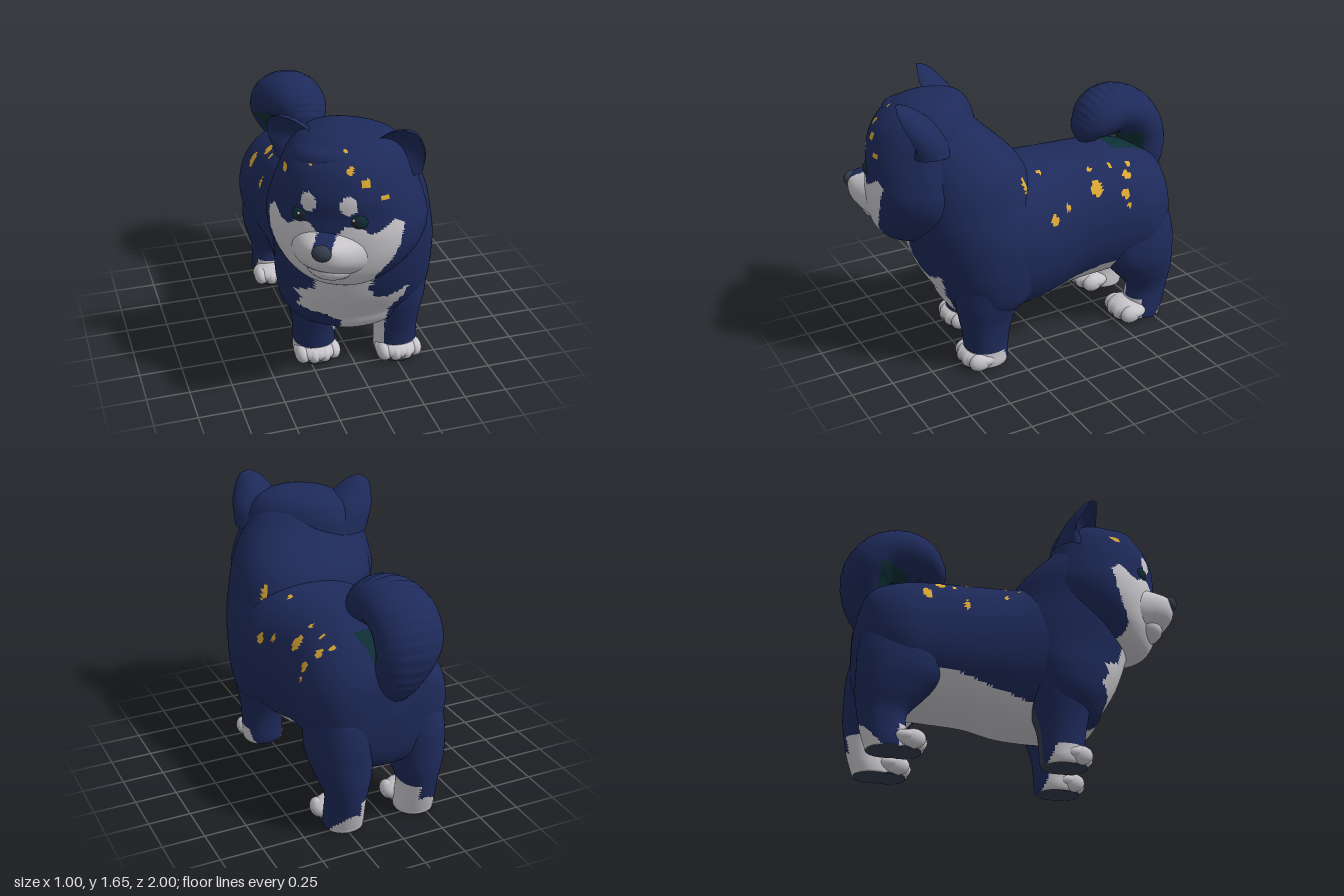
import * as THREE from 'three';

const mat = (name, color) => Object.assign(new THREE.MeshStandardMaterial({ color }), { name });
const navy = mat('navy coat', 0x1e2a5a);
const cream = mat('pale fur', 0xc9c7cc);
const gold = mat('gold fleck', 0xdba734);
const teal = mat('dark teal', 0x0d2f36);
const charcoal = mat('charcoal', 0x1c222c);
const slate = mat('slate pad', 0x343b4c);
const white = mat('eye glint', 0xe8eaec);
const PALETTE = [navy, cream, gold, teal, slate];
const NAVY = 0, CREAM = 1, GOLD = 2, TEAL = 3, SLATE = 4;

const UP = new THREE.Vector3(0, 1, 0), FORWARD = new THREE.Vector3(0, 0, 1);
const SIDE = new THREE.Vector3(1, 0, 0);

// slightly boxy oval used for most cross-sections
const oval = (c, s) => [Math.sign(c) * Math.abs(c) ** 0.92, Math.sign(s) * Math.abs(s) ** 0.92];

// Skin through rows of [x, y, z, halfWidth, halfDepth]; rings face axis, or follow the path when axis is null
function loft(rows, axis, steps, sides, shape = oval) {
  const path = new THREE.CatmullRomCurve3(rows.map(r => new THREE.Vector3(r[0], r[1], r[2])), false, 'catmullrom');
  const size = new THREE.CatmullRomCurve3(rows.map(r => new THREE.Vector3(r[3], r[4], 0)), false, 'catmullrom');
  const pos = [], index = [];
  for (let i = 0; i <= steps; i++) {
    const t = i / steps, c = path.getPoint(t), r = size.getPoint(t);
    const dir = axis ? axis.clone() : path.getTangent(t).setX(0).normalize();
    const up = dir.cross(SIDE);
    for (let j = 0; j < sides; j++) {
      const a = j / sides * Math.PI * 2;
      const [u, v] = shape(Math.cos(a), Math.sin(a), t);
      const p = c.clone().addScaledVector(SIDE, u * Math.max(r.x, 0.001)).addScaledVector(up, v * Math.max(r.y, 0.001));
      pos.push(p.x, Math.max(p.y, 0), p.z);
      if (i < steps) {
        const k = i * sides, n = (j + 1) % sides;
        index.push(k + j, k + n, k + sides + j, k + n, k + sides + n, k + sides + j);
      }
    }
  }
  const g = new THREE.BufferGeometry();
  g.setAttribute('position', new THREE.Float32BufferAttribute(pos, 3));
  g.setIndex(index);
  g.computeVertexNormals();
  return g;
}

// Sort the faces into colour groups by a rule on each face centre
function paint(name, g, rule) {
  const p = g.attributes.position, src = g.index.array, bins = PALETTE.map(() => []);
  for (let i = 0; i < src.length; i += 3) {
    const [a, b, c] = [src[i], src[i + 1], src[i + 2]];
    const mid = f => (p[f](a) + p[f](b) + p[f](c)) / 3;
    bins[rule(mid('getX'), mid('getY'), mid('getZ'))].push(a, b, c);
  }
  g.setIndex(bins.flat());
  let start = 0;
  bins.forEach((b, k) => { if (b.length) g.addGroup(start, b.length, k); start += b.length; });
  const m = new THREE.Mesh(g, PALETTE);
  m.name = name;
  return m;
}

function blob(name, material, [x, y, z], [rx, ry, rz]) {
  const m = new THREE.Mesh(new THREE.SphereGeometry(1, 22, 14), material);
  m.name = name;
  m.position.set(x, y, z);
  m.scale.set(rx, ry, rz);
  return m;
}

function inside(x, y, poly) {
  let hit = false;
  poly.forEach(([ax, ay], i) => {
    const [bx, by] = poly[(i + 1) % poly.length];
    if (ay > y !== by > y && x < ax + (bx - ax) * (y - ay) / (by - ay)) hit = !hit;
  });
  return hit;
}
const nearAny = (spots, u, v) => spots.some(([a, b, r]) => Math.hypot(u - a, v - b) < r);

// Flecks: on the left flank as [z, y, r], on the back as [x, z, r], on the brow as [x, y, r]
const FLANK = [[0.03, 0.89, 0.03], [-0.08, 0.93, 0.02], [-0.3, 0.98, 0.038], [-0.52, 1.01, 0.022],
  [-0.48, 0.92, 0.025], [-0.49, 0.86, 0.016]];
const BACK = [[0.24, -0.57, 0.015], [0.3, -0.53, 0.022], [0.24, -0.44, 0.016], [0.24, -0.3, 0.014],
  [0.23, 0.03, 0.016], [0.33, 0.18, 0.018], [-0.35, -0.53, 0.026], [-0.27, -0.44, 0.028], [-0.2, -0.27, 0.028],
  [-0.15, -0.14, 0.022], [-0.2, -0.03, 0.018], [-0.31, -0.05, 0.012], [-0.25, 0.04, 0.012], [-0.36, -0.3, 0.014],
  [-0.28, -0.36, 0.012]];
const BROW = [[0.1, 1.46, 0.018], [0.185, 1.4, 0.022], [0.28, 1.32, 0.016], [0.05, 1.53, 0.012],
  [-0.12, 1.47, 0.01], [-0.28, 1.4, 0.018]];
const CHEST = [[-0.3, 0.8], [0.03, 0.8], [0, 0.66], [0.05, 0.57], [0.13, 0.56], [0.26, 0.61], [0.24, 0.52], [0.17, 0.44],
  [0.14, 0.2], [-0.06, 0.2], [-0.18, 0.42], [-0.36, 0.49], [-0.34, 0.55], [-0.38, 0.6], [-0.29, 0.65]];
const FACE = [[-0.01, 0.6], [0.18, 0.7], [0.24, 0.85], [0.32, 0.95], [0.365, 1.05], [0.375, 1.16], [0.33, 1.2],
  [0.27, 1.14], [0.22, 1.13], [0.18, 1.17], [0.1, 1.17], [0.055, 1.12], [0.045, 1], [-0.01, 1]];

function makeBody(dog) {
  dog.add(paint('torso', loft([
    [0, 0.72, -0.9, 0, 0], [0, 0.72, -0.87, 0.23, 0.24], [0, 0.71, -0.8, 0.35, 0.33], [0, 0.705, -0.65, 0.415, 0.385],
    [0.01, 0.715, -0.45, 0.405, 0.41], [0.015, 0.715, -0.2, 0.395, 0.425], [0.03, 0.705, 0, 0.415, 0.45],
    [0.04, 0.71, 0.2, 0.44, 0.46], [0.04, 0.66, 0.4, 0.42, 0.4], [0.03, 0.6, 0.55, 0.34, 0.3], [0.03, 0.58, 0.64, 0, 0],
  ], FORWARD, 120, 120), (x, y, z) => {
    if (y > 0.75 && x > 0.3 && nearAny(FLANK, z, y)) return GOLD;
    if (y > 0.85 && nearAny(BACK, x, z)) return GOLD;
    if (y > 1 && x > -0.2 && x < 0.1 && z < -0.55 && z > -0.8) return TEAL;
    if (z > 0.22) return y < 0.4 && Math.abs(x - 0.03) < 0.14 ? CREAM : NAVY;
    return z > -0.62 && y < Math.min(0.48, 0.33 + (0.2 - z) * 0.27) ? CREAM : NAVY;
  }));
  // deep chest rising into the neck ruff
  dog.add(paint('chestAndNeck', loft([
    [0.03, 0.26, 0.36, 0, 0], [0.03, 0.3, 0.36, 0.27, 0.18], [0.03, 0.4, 0.34, 0.41, 0.26], [0.03, 0.55, 0.33, 0.45, 0.36],
    [0.03, 0.7, 0.33, 0.455, 0.42], [0.02, 0.85, 0.36, 0.455, 0.43], [0, 1, 0.41, 0.44, 0.41],
    [-0.03, 1.2, 0.455, 0.415, 0.365], [-0.08, 1.4, 0.55, 0.34, 0.26], [-0.1, 1.52, 0.6, 0.24, 0.2], [-0.1, 1.57, 0.6, 0, 0],
  ], UP, 80, 96), (x, y, z) => {
    if (z < 0.25 && y > 0.9 && nearAny(BACK, x, z)) return GOLD;
    return z > 0.28 && inside(x, y, CHEST) ? CREAM : NAVY;
  }));
  // curled tail with shallow fur ridges along its outer side
  dog.add(paint('tail', loft([
    [0, 0.8, -0.78, 0.06, 0.06], [-0.03, 0.93, -0.84, 0.14, 0.11], [-0.08, 1.1, -0.855, 0.19, 0.14],
    [-0.09, 1.23, -0.78, 0.2, 0.145], [-0.08, 1.285, -0.65, 0.195, 0.145], [-0.055, 1.265, -0.53, 0.175, 0.14],
    [-0.035, 1.21, -0.455, 0.135, 0.1], [-0.03, 1.15, -0.43, 0.08, 0.06], [-0.03, 1.12, -0.43, 0, 0],
  ], null, 140, 36, (c, s, t) => {
    const ridge = s > 0 ? 0.05 * s * ((t * 28) % 1) : 0;
    return [c, s * (1 + ridge)];
  }), (x, y, z) => y > 1 && y < 1.15 && z > -0.79 && z < -0.6 ? TEAL : NAVY));
}

// side: +1 left, -1 right. Rows run from the foot up, relative to the foot centre (x outwards)
function makeLeg(name, side, x, z, rows, toeZ, rule) {
  const leg = new THREE.Group();
  leg.name = name;
  leg.position.set(x, 0, z);
  leg.add(paint('limb', loft(rows.map(([lx, ...r]) => [lx * side, ...r]), UP, 54, 44),
    (px, y, pz) => y < 0.004 ? SLATE : rule(px * side, y, pz)));
  leg.add(blob('paw', cream, [0, 0.062, toeZ - 0.06], [0.14, 0.062, 0.115]));
  [-1.5, -0.5, 0.5, 1.5].forEach(k => leg.add(
    blob('toe', cream, [k * 0.063, 0.055, toeZ - Math.abs(k) * 0.02], [0.044, 0.055, 0.068])));
  const pad = new THREE.Mesh(new THREE.CylinderGeometry(0.1, 0.1, 0.008, 32), slate);
  pad.name = 'pad';
  pad.position.set(0, 0.004, toeZ - 0.07);
  leg.add(pad);
  return leg;
}

function makeLegs(dog) {
  const front = [[0, 0, 0, 0, 0], [0, 0, 0, 0.1, 0.1], [0, 0.03, 0, 0.125, 0.125], [0, 0.1, 0, 0.125, 0.13],
    [0, 0.2, 0, 0.127, 0.14], [0, 0.3, -0.005, 0.138, 0.165], [0.005, 0.45, -0.02, 0.165, 0.205],
    [0, 0.6, -0.05, 0.17, 0.2], [-0.01, 0.74, -0.07, 0, 0]];
  const back = [[0, 0, 0, 0, 0], [0, 0, 0, 0.1, 0.1], [0, 0.03, 0, 0.115, 0.12], [0, 0.12, -0.02, 0.11, 0.13],
    [0, 0.22, -0.03, 0.115, 0.14], [0, 0.33, 0.01, 0.15, 0.195], [0, 0.45, 0.06, 0.178, 0.245],
    [-0.01, 0.6, 0.07, 0.18, 0.25], [-0.04, 0.75, 0.07, 0.16, 0.2], [-0.08, 0.88, 0.06, 0, 0]];
  for (const side of [1, -1]) {
    const label = side > 0 ? 'left' : 'right';
    dog.add(makeLeg(label + 'FrontLeg', side, side > 0 ? 0.275 : -0.2, side > 0 ? 0.41 : 0.3, front, 0.115, (x, y, z) => {
      if (side < 0 && z < -0.03 && x < 0.04 && y < 0.32) return SLATE;
      if (y < 0.11 && z > -0.06 - (0.11 - y) * 0.4) return CREAM;
      const edge = side < 0 ? -0.12 + (y - 0.15) * 0.44 : -0.1;
      return x < edge && y < 0.44 && z > -0.06 ? CREAM : NAVY;
    }));
    dog.add(makeLeg(label + 'BackLeg', side, side > 0 ? 0.24 : -0.215, -0.71, back, 0.165, (x, y, z) => {
      if (y < 0.14 && (z > 0.05 || z < -0.16 + (0.14 - y) * 0.9)) return CREAM;
      return (x < -0.04 && y < 0.22) || (x < -0.02 && z > 0.04 && y < 0.36) ? CREAM : NAVY;
    }));
  }
}

function makeHead() {
  const head = new THREE.Group();
  head.name = 'head';
  head.position.set(-0.085, 0, 0.57);
  head.rotation.y = -0.583;
  // skull: the back of each ring is drawn in so the nape slopes into the neck
  head.add(paint('skull', loft([
    [0, 0.73, 0.1, 0, 0], [0, 0.76, 0.09, 0.19, 0.18], [0, 0.85, 0.04, 0.33, 0.3], [0, 0.97, 0, 0.42, 0.365],
    [0, 1.09, -0.01, 0.445, 0.38], [0, 1.2, -0.01, 0.425, 0.37], [0, 1.32, -0.01, 0.385, 0.365],
    [0, 1.45, -0.03, 0.33, 0.335], [0, 1.54, -0.05, 0.25, 0.255], [0, 1.585, -0.05, 0.13, 0.14], [0, 1.595, -0.05, 0, 0],
  ], UP, 110, 140, (c, s, t) => {
    const [u, v] = oval(c, s);
    return [u, s > 0 ? v * (1 - 0.5 * t) : v];
  }), (x, y, z) => {
    const ax = Math.abs(x);
    if (z > 0 && nearAny(BROW, x, y)) return GOLD;
    if (z > 0 && Math.hypot((ax - 0.11) / 0.045, (y - 1.285) / 0.052) < 1) return CREAM;
    return z > 0.05 && inside(ax, y, FACE) ? CREAM : NAVY;
  }));
  // muzzle tapering to the nose, dark along the bridge, with the jaw tucked under the smile
  head.add(paint('muzzle', loft([
    [0, 1, 0.2, 0.27, 0.19], [0, 1, 0.32, 0.215, 0.145], [0, 1.01, 0.4, 0.155, 0.105], [0, 1.02, 0.45, 0.1, 0.075],
    [0, 1.03, 0.475, 0.05, 0.045], [0, 1.03, 0.48, 0, 0],
  ], FORWARD, 36, 56), (x, y) => Math.abs(x) < 0.052 && y > 1.05 ? NAVY : CREAM));
  head.add(blob('lowerJaw', cream, [0, 0.9, 0.28], [0.14, 0.08, 0.13]));
  head.add(blob('nose', slate, [0, 1.055, 0.465], [0.055, 0.045, 0.042]));
  for (const s of [1, -1]) {
    head.add(blob('eye', teal, [s * 0.15, 1.195, 0.315], [0.06, 0.05, 0.04]));
    head.add(blob('pupil', charcoal, [s * 0.15, 1.197, 0.338], [0.032, 0.032, 0.02]));
    head.add(blob('glint', white, [s * 0.15 - 0.01, 1.212, 0.354], [0.007, 0.008, 0.005]));
    // cupped ear: the front half of each ring folds inwards
    head.add(paint('ear', loft([
      [s * 0.24, 1.35, -0.03, 0.17, 0.16], [s * 0.275, 1.47, 0.02, 0.158, 0.145], [s * 0.31, 1.56, 0.07, 0.115, 0.105],
      [s * 0.335, 1.62, 0.1, 0.065, 0.06], [s * 0.342, 1.648, 0.115, 0, 0],
    ], UP, 30, 36, (c, v, t) => [c, v < 0 ? v * (0.5 - 0.95 * Math.sin(Math.PI * t)) : v]), () => NAVY));
  }
  return head;
}

export function createModel() {
  const dog = new THREE.Group();
  dog.name = 'dog';
  makeBody(dog);
  makeLegs(dog);
  dog.add(makeHead());
  return dog;
}
